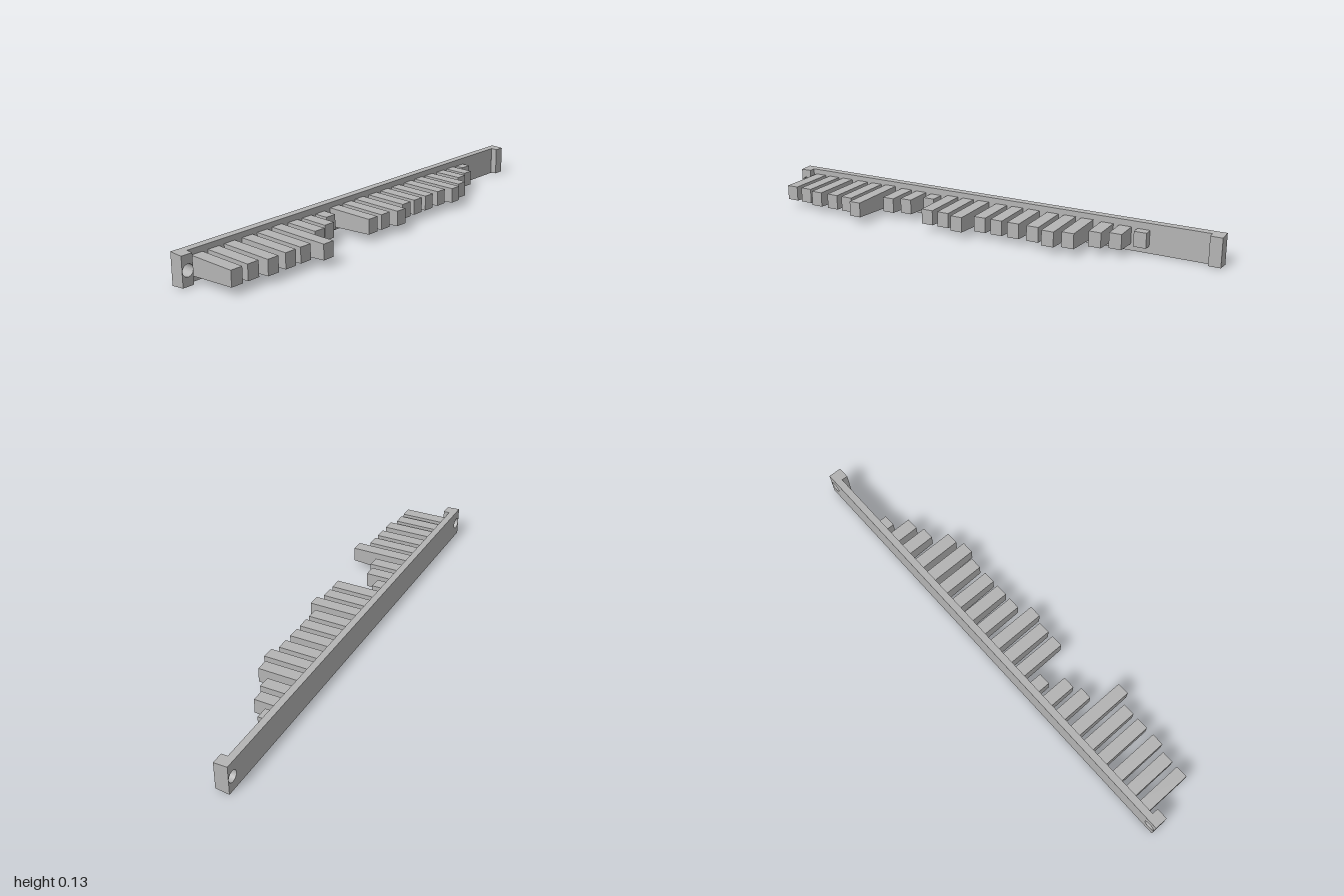
import * as THREE from 'three';

const MID = 0.0635;    // height of the centre line
const BACK = -0.148;   // rear face of the rail
const FACE = -0.118;   // front face of the rail
const PAD = -0.091;    // front face of the end pads
const HOLE_X = 0.974;

// Plate with screw holes; its top and bottom draw in towards the front
function plate(x0, x1, z0, z1, holes) {
  const shape = new THREE.Shape();
  shape.moveTo(x0, -0.0635).lineTo(x1, -0.0635).lineTo(x1, 0.0635).lineTo(x0, 0.0635).closePath();
  for (const x of holes) {
    shape.holes.push(new THREE.Path().absarc(x, 0, 0.024, 0, Math.PI * 2, true));
  }
  const geo = new THREE.ExtrudeGeometry(shape, { depth: z1 - z0, bevelEnabled: false, curveSegments: 16 });
  geo.translate(0, 0, z0);
  const p = geo.attributes.position;
  for (let i = 0; i < p.count; i++) {
    const y = p.getY(i);
    if (Math.abs(y) > 0.05) p.setY(i, y - Math.sign(y) * 0.07 * (p.getZ(i) - BACK));
  }
  geo.translate(0, MID, 0);
  geo.computeVertexNormals();
  return geo;
}

// Bar from the rail to its tip, growing taller towards the rail
function bar(tip) {
  const length = tip - FACE;
  const geo = new THREE.BoxGeometry(0.052, 0.063, length);
  geo.translate(0, 0, FACE + length / 2);
  const p = geo.attributes.position;
  for (let i = 0; i < p.count; i++) {
    const y = p.getY(i);
    p.setY(i, y + Math.sign(y) * 0.035 * (tip - p.getZ(i)));
  }
  geo.computeVertexNormals();
  return geo;
}

export function createModel() {
  const group = new THREE.Group();
  const grey = new THREE.MeshStandardMaterial({ color: 0xb4b4b4 });
  grey.name = 'grey';
  const add = (name, geo) => {
    const mesh = new THREE.Mesh(geo, grey);
    mesh.name = name;
    group.add(mesh);
    return mesh;
  };

  // Long rail and its two end pads
  add('rail', plate(-1, 1, BACK, FACE, [-HOLE_X, HOLE_X]));
  add('rightPad', plate(-1, -0.951, FACE, PAD, [-HOLE_X]));
  add('leftPad', plate(0.951, 1, FACE, PAD, [HOLE_X]));

  // Bars in groups of three, given by the depth of each tip
  const tips = [
    [0.086, 0.086, 0.106], [0.106, 0.106, 0.148], [0.024, 0.003, -0.06],
    [0.086, 0.086, 0.106], [0.065, 0.065, 0.065], [0.065, 0.086, 0.065],
    [0.003, -0.018, -0.081],
  ];
  tips.forEach((trio, g) => trio.forEach((tip, i) => {
    add('bar', bar(tip)).position.set(-0.909 + 0.2393 * g + 0.0765 * i, MID + 0.0005, 0);
  }));
  return group;
}
